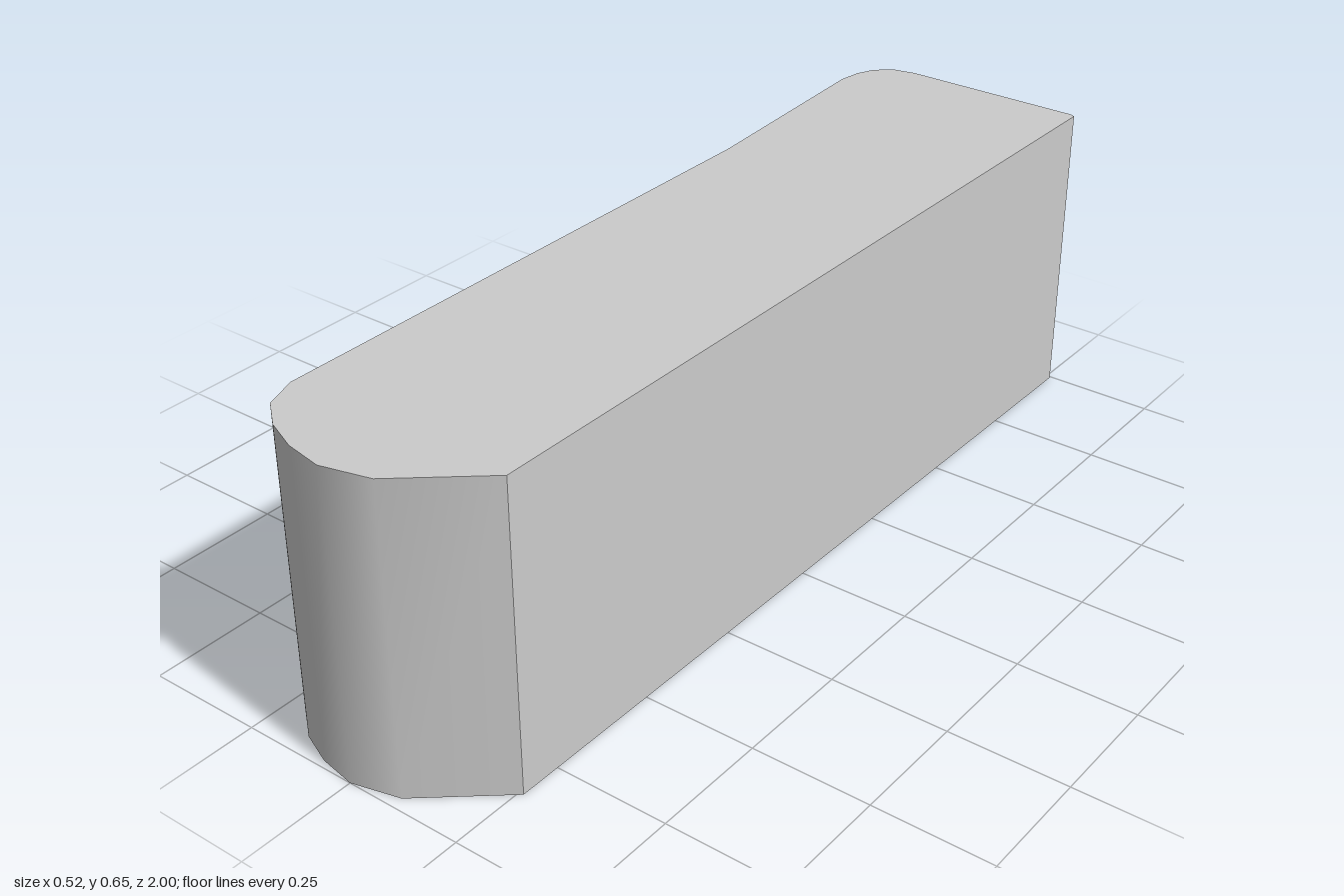
import * as THREE from 'three';

const HEIGHT = 0.65;

// Plan outline as [x, z], split into runs that are each smoothly shaded
const runs = {
  backWall: [[0.26, -0.995], [0.25, -1], [-0.15, -1]],
  roundedCorner: [[-0.15, -1], [-0.2, -0.99], [-0.235, -0.96], [-0.253, -0.92], [-0.26, -0.87]],
  taperedWall: [[-0.26, -0.87], [-0.23, -0.4], [-0.23, 0.84]],
  roundedNose: [[-0.23, 0.84], [-0.205, 0.91], [-0.15, 0.955], [-0.08, 0.985], [0, 1], [0.1, 0.975], [0.26, 0.84]],
  straightWall: [[0.26, 0.84], [0.26, -0.995]],
};

// Vertical ribbon standing on one run of the outline
function wallGeometry(run) {
  const positions = [];
  const index = [];
  run.forEach(([x, z], i) => {
    positions.push(x, 0, z, x, HEIGHT, z);
    if (i > 0) {
      const a = 2 * (i - 1);
      index.push(a, a + 2, a + 3, a, a + 3, a + 1);
    }
  });
  const geometry = new THREE.BufferGeometry();
  geometry.setAttribute('position', new THREE.Float32BufferAttribute(positions, 3));
  geometry.setIndex(index);
  geometry.computeVertexNormals();
  return geometry;
}

// Flat cap: facing = 1 looks up, -1 looks down
function capGeometry(facing) {
  const outline = Object.values(runs).flatMap((run) => run.slice(0, -1));
  const shape = new THREE.Shape(outline.map(([x, z]) => new THREE.Vector2(x, -facing * z)));
  return new THREE.ShapeGeometry(shape).rotateX((-facing * Math.PI) / 2);
}

export function createModel() {
  const model = new THREE.Group();
  model.name = 'taperedBlock';
  const material = new THREE.MeshStandardMaterial({ color: 0xcccccc });

  function add(name, geometry, y = 0) {
    const mesh = new THREE.Mesh(geometry, material);
    mesh.name = name;
    mesh.position.y = y;
    model.add(mesh);
  }

  // Side walls
  for (const [name, run] of Object.entries(runs)) add(name, wallGeometry(run));

  // Top and bottom
  add('topFace', capGeometry(1), HEIGHT);
  add('bottomFace', capGeometry(-1));

  return model;
}
